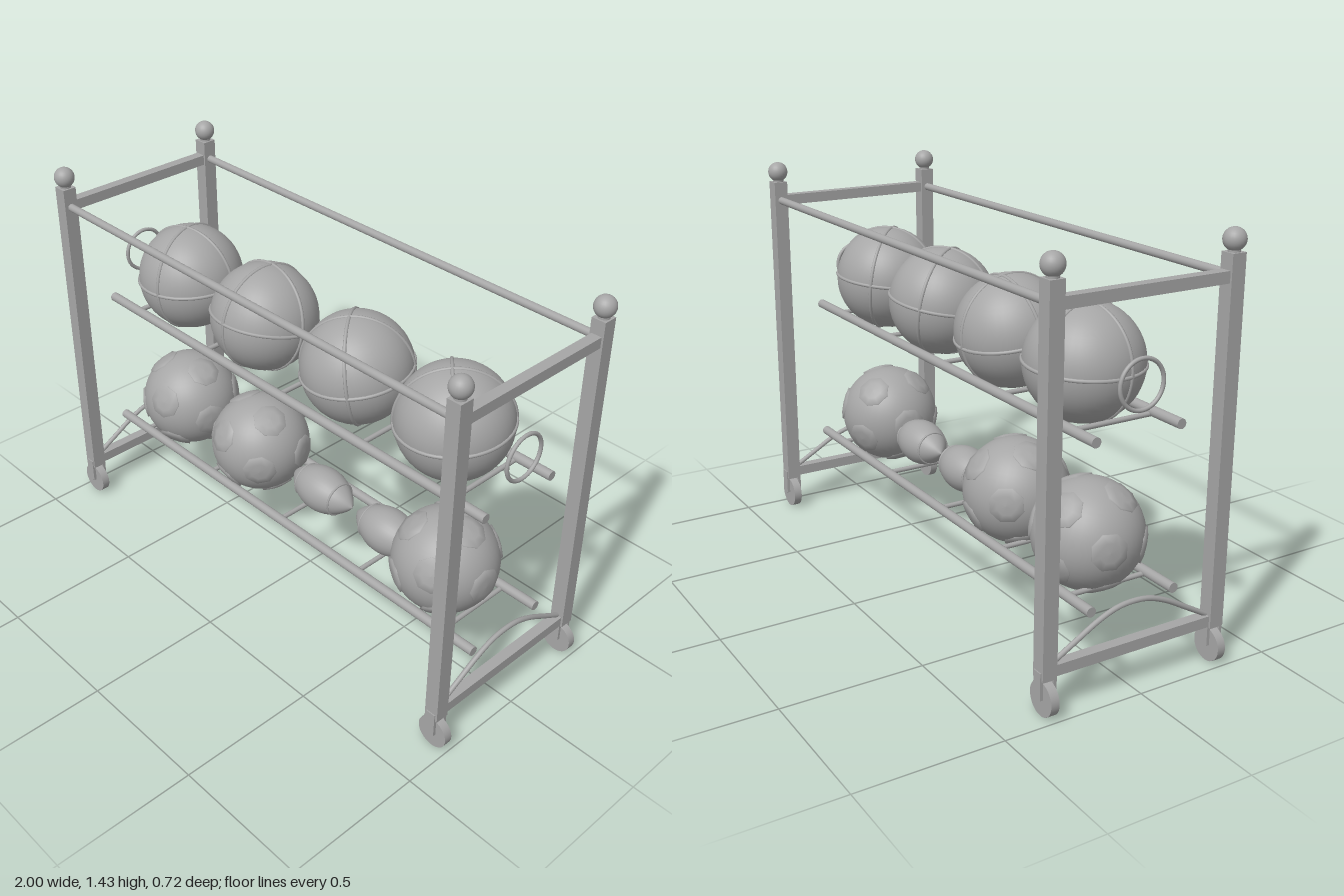
import * as THREE from 'three';

export function createModel() {
  const root = new THREE.Group();
  const grey = new THREE.MeshStandardMaterial({ color: 0xa6a6a6 });
  grey.name = 'plain grey';

  const add = (name, geo, x = 0, y = 0, z = 0, parent = root) => {
    const m = new THREE.Mesh(geo, grey);
    m.name = name;
    m.position.set(x, y, z);
    parent.add(m);
    return m;
  };
  const box = (w, h, d) => new THREE.BoxGeometry(w, h, d);
  const rod = (r, len, axis, seg = 16) => {
    const g = new THREE.CylinderGeometry(r, r, len, seg);
    if (axis === 'x') g.rotateZ(Math.PI / 2);
    if (axis === 'z') g.rotateX(Math.PI / 2);
    return g;
  };

  const PX = 0.942, PZ = 0.323;

  // Corner posts, finials and casters
  for (const x of [-PX, PX]) {
    for (const z of [-PZ, PZ]) {
      add('post', box(0.052, 1.225, 0.052), x, 0.7425, z);
      add('finialNeck', rod(0.02, 0.02, 'y'), x, 1.36, z);
      add('finial', new THREE.SphereGeometry(0.037, 24, 16), x, 1.393, z);
      add('casterTop', box(0.037, 0.035, 0.06), x, 0.14, z);
      for (const s of [-1, 1]) add('casterFork', box(0.037, 0.08, 0.011), x, 0.105, z + s * 0.0245);
      add('wheel', rod(0.058, 0.03, 'z', 32), x, 0.06, z);
      add('axle', rod(0.009, 0.058, 'z'), x, 0.068, z);
    }
  }

  // End frames: crossbars, carrying ring and lower arch
  const arch = new THREE.CatmullRomCurve3(
    [[0.3, 0.17], [0.22, 0.215], [0.13, 0.265], [0.06, 0.291], [0, 0.297],
      [-0.06, 0.291], [-0.13, 0.265], [-0.22, 0.215], [-0.3, 0.17]]
      .map(([z, y]) => new THREE.Vector3(0, y, z)));
  for (const x of [-PX, PX]) {
    add('upperEndBar', box(0.038, 0.038, 2 * PZ), x, 1.284, 0);
    add('lowerEndBar', box(0.038, 0.038, 2 * PZ), x, 0.152, 0);
    add('endRing', new THREE.TorusGeometry(0.08, 0.007, 10, 40).rotateY(Math.PI / 2), x, 0.997, 0);
    add('endArch', new THREE.TubeGeometry(arch, 40, 0.009, 10), x, 0, 0);
  }

  // Top rails and the two ball shelves
  for (const s of [-1, 1]) add('topRail', rod(0.014, 2 * PX, 'x'), 0, 1.284, s * PZ);
  for (const y of [0.846, 0.3]) {
    for (const s of [-1, 1]) add('shelfRail', rod(0.017, 2 * PX, 'x'), 0, y, s * 0.158);
    for (const x of [-0.8, -0.4, 0, 0.4, 0.8]) add('shelfCrossbar', rod(0.009, 0.316, 'z', 10), x, y - 0.008, 0);
  }

  // Large balls with ribbed seams
  const seam = new THREE.TorusGeometry(0.194, 0.0065, 8, 64);
  const largeBall = new THREE.SphereGeometry(0.195, 40, 28);
  [[-0.652, 0, 0.22, 0.05], [-0.237, -0.2, 0, 0], [0.23, 0.05, 0.62, 0.12], [0.663, 0.05, 0.76, 0.06]]
    .forEach(([x, rx, ry, rz]) => {
      const g = new THREE.Group();
      g.name = 'seamedBall';
      g.position.set(x, 0.994, 0);
      g.rotation.set(rx, ry, rz);
      root.add(g);
      add('ballBody', largeBall, 0, 0, 0, g);
      add('seam', seam, 0, 0, 0, g);
      add('seam', seam, 0, 0, 0, g).rotation.x = Math.PI / 2;
      add('seam', seam, 0, 0, 0, g).rotation.y = Math.PI / 2;
    });

  // Patched balls: raised octagonal patches at the twelve icosahedron corners
  const v2 = (pts) => pts.map(([r, y]) => new THREE.Vector2(r, y));
  const patch = new THREE.LatheGeometry(v2([[0.062, 0.168], [0.063, 0.182], [0.035, 0.189], [0, 0.191]]), 8);
  const patchedBall = new THREE.SphereGeometry(0.186, 40, 28);
  const up = new THREE.Vector3(0, 1, 0);
  const t = (1 + Math.sqrt(5)) / 2;
  const dirs = [];
  for (const a of [-1, 1]) {
    for (const b of [-t, t]) dirs.push([0, a, b], [a, b, 0], [b, 0, a]);
  }
  [[-0.698, 0.2, 0.3], [-0.275, 0.1, -0.2], [0.668, 0.25, 0.5]].forEach(([x, rx, ry]) => {
    const g = new THREE.Group();
    g.name = 'patchedBall';
    g.position.set(x, 0.433, 0);
    g.rotation.set(rx, ry, 0);
    root.add(g);
    add('ballBody', patchedBall, 0, 0, 0, g);
    for (const d of dirs) {
      add('patch', patch, 0, 0, 0, g).quaternion
        .setFromUnitVectors(up, new THREE.Vector3(...d).normalize());
    }
  });

  // Pointed oval balls with two raised bands
  const oval = [];
  for (let i = 0; i <= 24; i++) {
    const u = -1 + i / 12;
    oval.push([0.084 * Math.pow(Math.max(0, 1 - u * u), 0.85), u * 0.153]);
  }
  const ovalGeo = new THREE.LatheGeometry(v2(oval), 32).rotateZ(Math.PI / 2);
  const band = new THREE.TorusGeometry(0.0615, 0.004, 8, 32).rotateY(Math.PI / 2);
  for (const x of [0.07, 0.4]) {
    const g = new THREE.Group();
    g.name = 'ovalBall';
    g.position.set(x, 0.39, 0);
    root.add(g);
    add('ovalBody', ovalGeo, 0, 0, 0, g);
    for (const s of [-1, 1]) add('band', band, s * 0.085, 0, 0, g);
  }

  return root;
}
